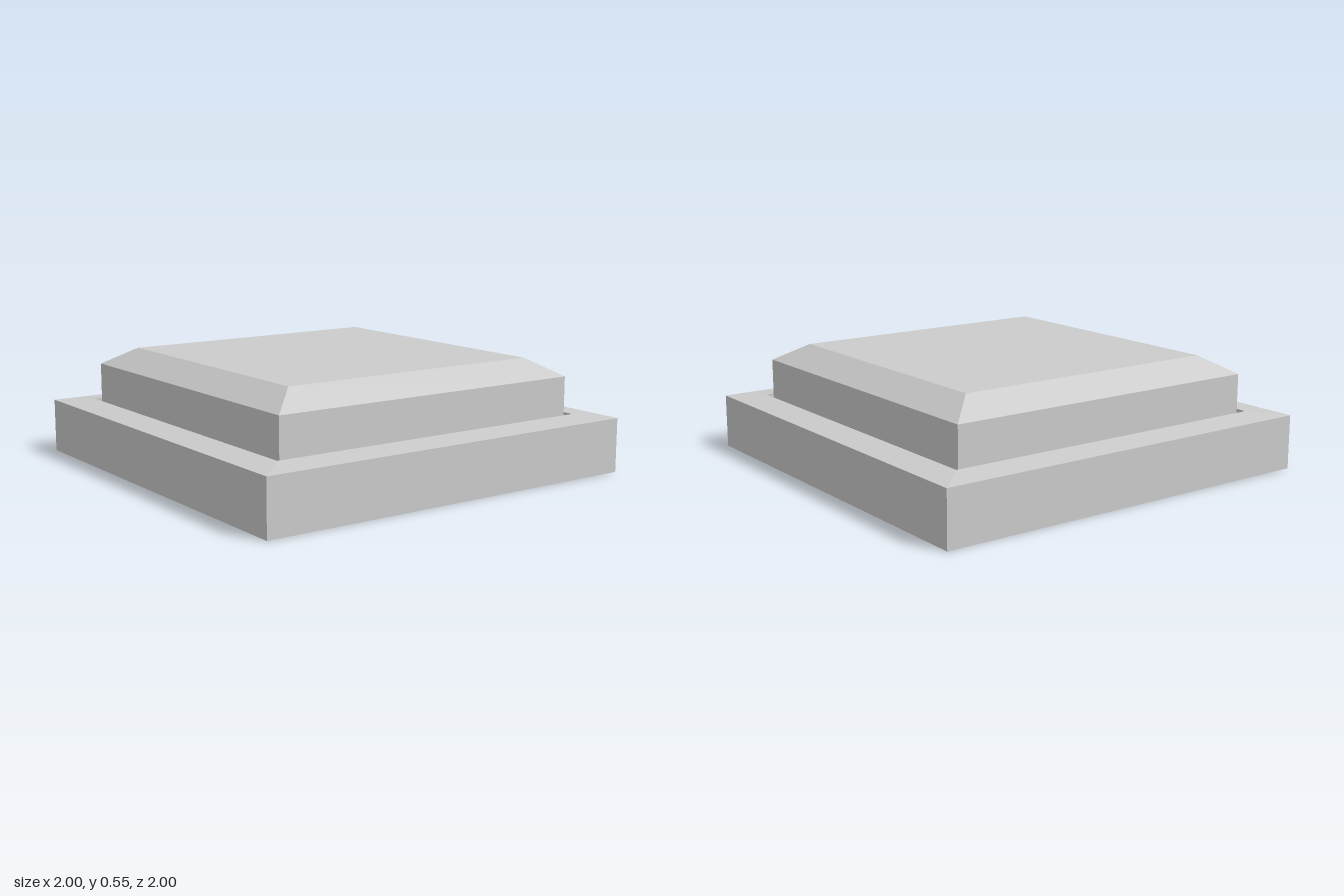
import * as THREE from 'three';

const material = new THREE.MeshStandardMaterial({ color: 0xcccccc, flatShading: true });

// Sweeps a [halfWidth, height] profile around a square, listed from the bottom up
function squareSolid(name, profile) {
  const points = profile.map(([half, y]) => new THREE.Vector2(half * Math.SQRT2, y));
  const geometry = new THREE.LatheGeometry(points, 4, Math.PI / 4).toNonIndexed();
  geometry.computeVertexNormals();
  const mesh = new THREE.Mesh(geometry, material);
  mesh.name = name;
  return mesh;
}

export function createModel() {
  const group = new THREE.Group();
  group.name = 'pushButton';
  const floor = 0.05;

  // Square housing with a gently sloped rim and a recess for the button
  group.add(squareSolid('housing', [
    [0, 0], [1, 0], [1, 0.265], [0.848, 0.278], [0.848, floor], [0, floor],
  ]));

  // Bevelled button, standing in the recess with a narrow gap all around
  group.add(squareSolid('buttonCap', [
    [0, floor], [0.82, floor], [0.82, 0.46], [0.68, 0.546], [0, 0.546],
  ]));

  return group;
}
